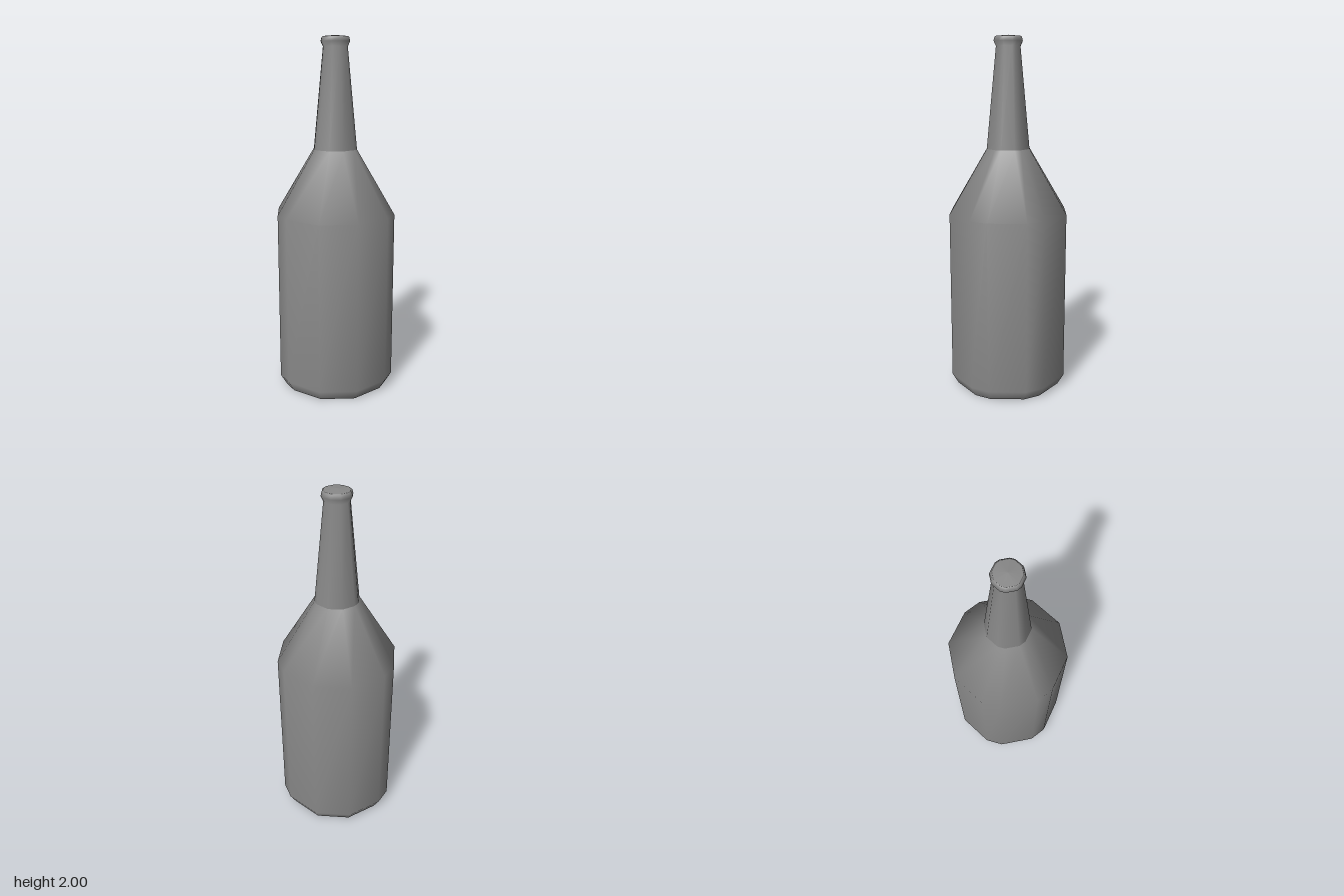
import * as THREE from 'three';

// Corner angles of the twelve-sided section, in degrees from +x towards +z
const HALF = [0, 18, 54, 72, 108, 144];
const ANGLES = [...HALF, ...HALF.map(a => a + 180)].map(THREE.MathUtils.degToRad);

// Smooth band of rings; profile points are [radius, height], outward side in front
function band(name, profile, material) {
  const n = ANGLES.length, positions = [], index = [];
  for (const [r, y] of profile) {
    for (const a of ANGLES) positions.push(r * Math.cos(a), y, r * Math.sin(a));
  }
  for (let k = 0; k < profile.length - 1; k++) {
    for (let i = 0; i < n; i++) {
      const j = (i + 1) % n;
      const a = k * n + i, b = k * n + j, c = a + n, d = b + n;
      if (profile[k][0] > 0) index.push(a, c, b);
      if (profile[k + 1][0] > 0) index.push(b, c, d);
    }
  }
  const geometry = new THREE.BufferGeometry();
  geometry.setAttribute('position', new THREE.Float32BufferAttribute(positions, 3));
  geometry.setIndex(index);
  geometry.computeVertexNormals();
  const mesh = new THREE.Mesh(geometry, material);
  mesh.name = name;
  return mesh;
}

export function createModel() {
  const group = new THREE.Group();
  group.name = 'bottle';
  const material = new THREE.MeshStandardMaterial({ color: 0x888888 });

  // Separate bands keep the edges between them sharp
  const parts = {
    base: [[0, 0], [0.308, 0]],
    body: [[0.308, 0], [0.343, 0.06], [0.343, 1.025], [0.125, 1.385]],
    neckAndLip: [[0.125, 1.385], [0.07, 1.94], [0.083, 1.968], [0.078, 1.988], [0.07, 1.994]],
    top: [[0.07, 1.994], [0, 2]],
  };
  for (const [name, profile] of Object.entries(parts)) group.add(band(name, profile, material));
  return group;
}
